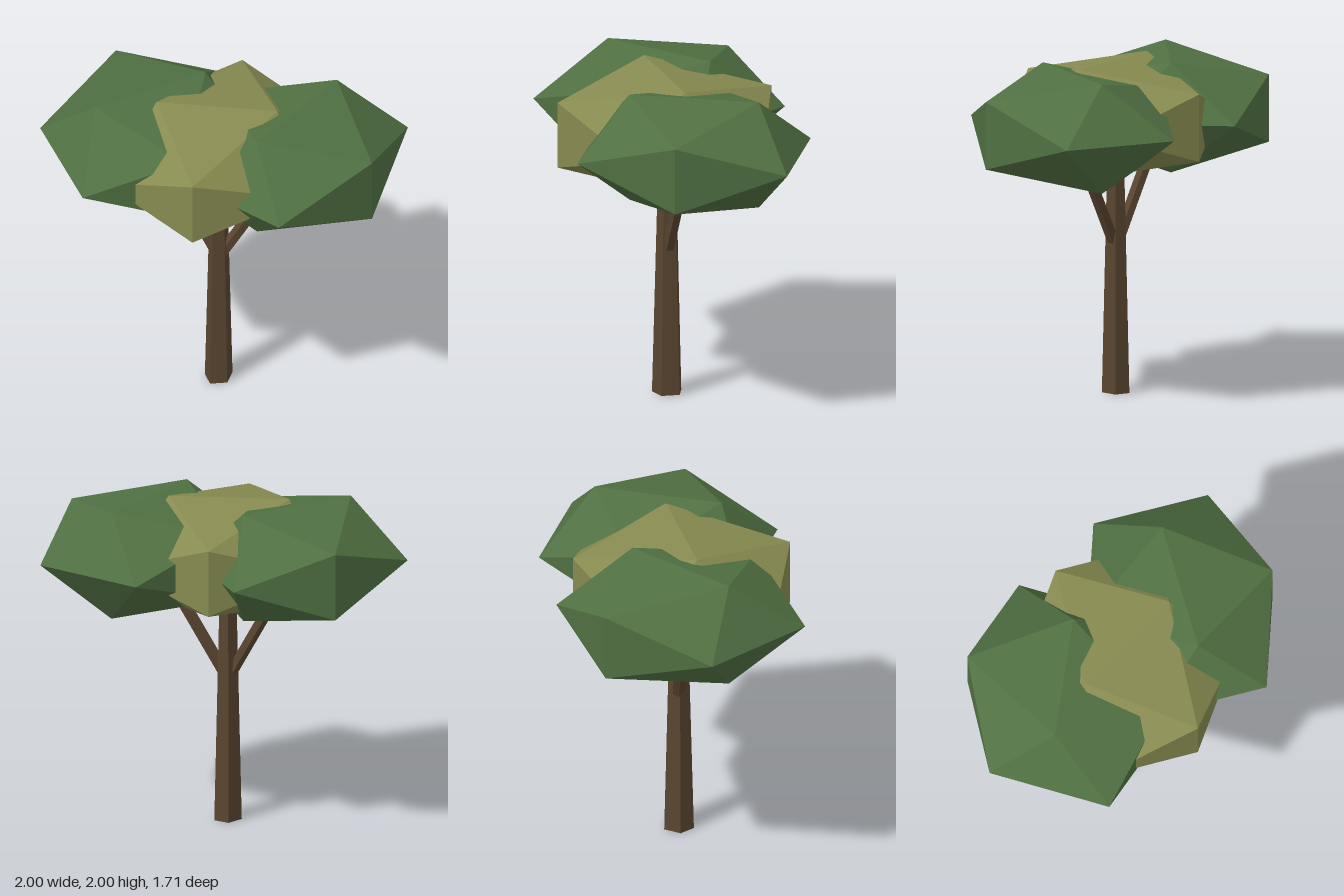
import * as THREE from 'three';

export function createModel() {
  const model = new THREE.Group();
  const paint = (name, color) => {
    const m = new THREE.MeshStandardMaterial({ color, flatShading: true });
    m.name = name;
    return m;
  };
  const bark = paint('bark brown', 0x5a4530);
  const green = paint('leaf green', 0x507042);
  const olive = paint('leaf olive', 0x878a50);

  const add = (name, geometry, material) => {
    const mesh = new THREE.Mesh(geometry, material);
    mesh.name = name;
    model.add(mesh);
    return mesh;
  };

  // Trunk: tapered five-sided post, slightly deeper than wide
  const trunkHeight = 1.62;
  const trunk = add('trunk', new THREE.CylinderGeometry(0.052, 0.094, trunkHeight, 5), bark);
  trunk.scale.x = 0.88;
  trunk.position.set(0.007, trunkHeight / 2, 0.006);

  // Branches: thin five-sided limbs reaching into the side clumps
  const addBranch = (name, from, to) => {
    const a = new THREE.Vector3(...from);
    const b = new THREE.Vector3(...to);
    const dir = b.clone().sub(a);
    const limb = add(name, new THREE.CylinderGeometry(0.037, 0.037, dir.length(), 5), bark);
    limb.position.copy(a).add(b).multiplyScalar(0.5);
    limb.quaternion.setFromUnitVectors(new THREE.Vector3(0, 1, 0), dir.normalize());
  };
  addBranch('leftBranch', [0.03, 0.92, -0.005], [0.4, 1.62, -0.16]);
  addBranch('rightBranch', [-0.015, 0.92, 0.01], [-0.375, 1.6, 0.105]);

  // Foliage: squashed icosahedra; u and v are the [x, z] directions of the plan axes
  const edgeUnit = Math.hypot(1, (1 + Math.sqrt(5)) / 2);
  const addClump = (name, material, [cx, cz], u, v) => {
    const geometry = new THREE.IcosahedronGeometry(edgeUnit, 0);
    geometry.applyMatrix4(new THREE.Matrix4().set(
      u[0], 0, v[0], cx,
      0, 0.204, 0, 1.67,
      u[1], 0, v[1], cz,
      0, 0, 0, 1
    ));
    geometry.computeVertexNormals();
    add(name, geometry, material);
  };
  addClump('rightFoliage', green, [-0.415, 0.1], [0.179, -0.3245], [0.295, 0.225]);
  addClump('leftFoliage', green, [0.43, -0.195], [0.031, -0.389], [0.35, 0.035]);
  addClump('middleFoliage', olive, [0.01, 0.025], [0.325, -0.155], [0.136, 0.38]);

  return model;
}
